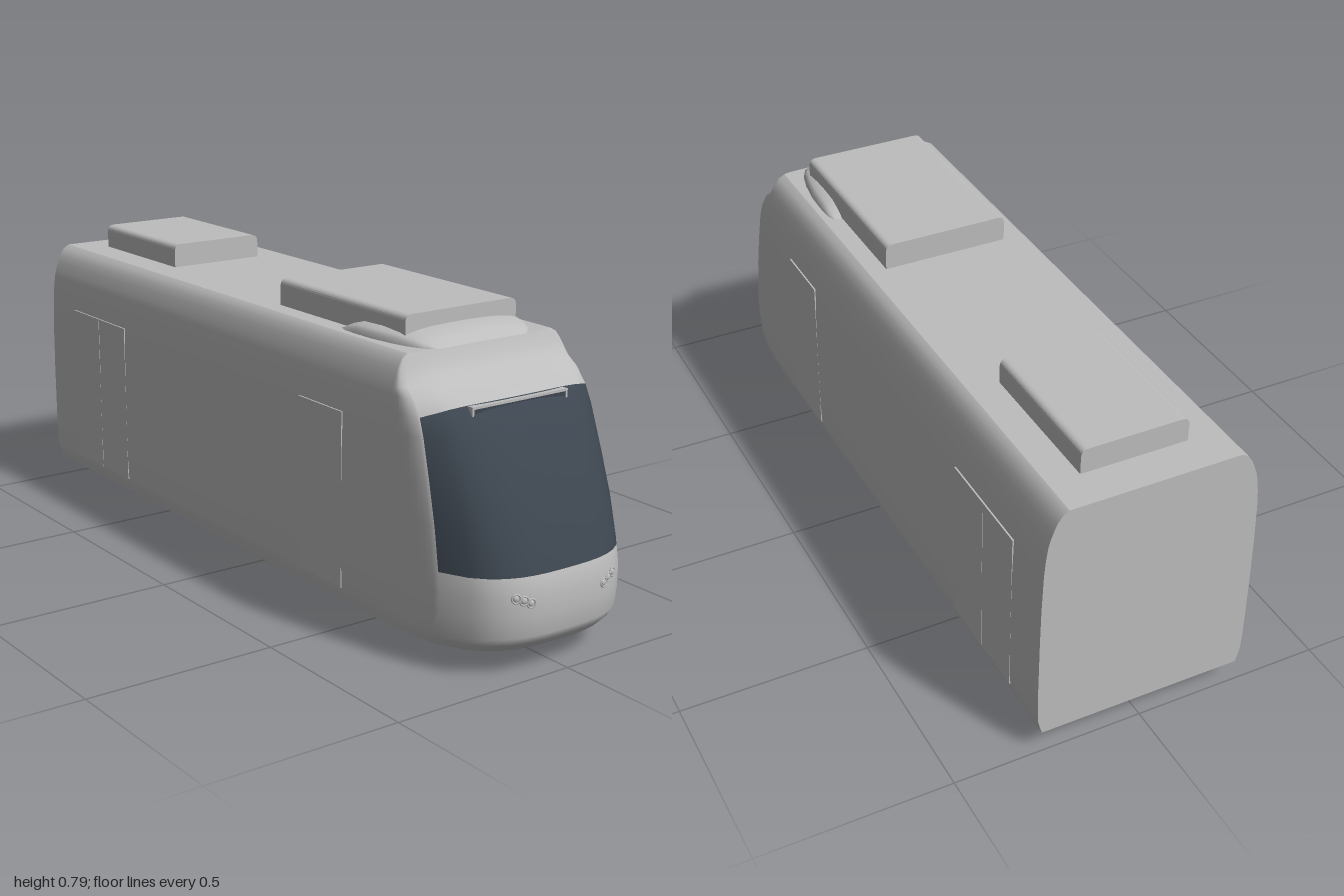
import * as THREE from 'three';

const mat = (name, color, side = THREE.FrontSide) => {
  const m = new THREE.MeshStandardMaterial({ color, side });
  m.name = name;
  return m;
};

// Body profile rows: height, half width, nose tip z, nose depth
const ROWS = [
  [0.06, 0.27, 0.965, 0.35], [0.08, 0.276, 0.985, 0.36], [0.1, 0.281, 0.996, 0.365],
  [0.15, 0.283, 1, 0.365], [0.2, 0.284, 1, 0.365], [0.247, 0.284, 0.99, 0.357],
  [0.35, 0.284, 0.95, 0.3], [0.45, 0.283, 0.902, 0.24], [0.55, 0.28, 0.845, 0.17],
  [0.613, 0.275, 0.797, 0.12], [0.63, 0.272, 0.765, 0.09], [0.65, 0.267, 0.722, 0.055],
  [0.67, 0.26, 0.697, 0.03], [0.69, 0.252, 0.684, 0.02], [0.71, 0.239, 0.674, 0.012],
  [0.72, 0.222, 0.67, 0.01],
];
const GLASS_BOTTOM = 5, GLASS_TOP = 9, EDGE = 0.93;

function sample(y) {
  let i = 0;
  while (i < ROWS.length - 2 && ROWS[i + 1][0] < y) i++;
  const t = (y - ROWS[i][0]) / (ROWS[i + 1][0] - ROWS[i][0]);
  return ROWS[i].map((v, k) => v + (ROWS[i + 1][k] - v) * t);
}

// z of the nose surface, with u = x / half width
function noseZ(u, y) {
  const [, , tip, depth] = sample(y);
  return tip - depth + depth * Math.cbrt(Math.max(0, 1 - Math.abs(u) ** 3));
}

// Columns across the nose, denser at the rounded corners
const half = [];
for (let k = 1; k <= 8; k++) half.push(EDGE * k / 8);
for (let k = 1; k <= 7; k++) half.push(EDGE + (1 - EDGE) * Math.sin(k / 7 * Math.PI / 2));
const US = [...half.map(u => -u).reverse(), 0, ...half];

function bodyRow(i) {
  const pts = US.map(u => {
    const dip = i === GLASS_TOP ? 0.02 * Math.min(1, Math.abs(u) / EDGE) ** 5 : 0;
    const y = ROWS[i][0] - dip;
    return new THREE.Vector3(u * sample(y)[1], y, noseZ(u, y));
  });
  const a = pts[0].clone().setZ(-1), b = pts[pts.length - 1].clone().setZ(-1);
  return [a, ...pts, b];
}

function shellGeometry(rows) {
  const n = rows[0].length, pos = [], skin = [], glass = [];
  rows.flat().forEach(p => pos.push(p.x, p.y, p.z));
  for (let i = 0; i < rows.length - 1; i++) {
    for (let j = 0; j < n - 1; j++) {
      const a = i * n + j, b = a + 1, c = b + n, d = a + n;
      const inGlass = i >= GLASS_BOTTOM && i < GLASS_TOP && j >= 8 && j < n - 9;
      (inGlass ? glass : skin).push(a, b, c, a, c, d);
    }
  }
  const g = new THREE.BufferGeometry();
  g.setAttribute('position', new THREE.Float32BufferAttribute(pos, 3));
  g.setIndex([...skin, ...glass]);
  g.addGroup(0, skin.length, 0);
  g.addGroup(skin.length, glass.length, 1);
  g.computeVertexNormals();
  return g;
}

// Roof box with rounded upper long edges
function roofBox(w, h, z0, z1) {
  const r = 0.02, s = new THREE.Shape();
  s.moveTo(-w, 0);
  s.lineTo(w, 0);
  s.lineTo(w, h - r);
  s.quadraticCurveTo(w, h, w - r, h);
  s.lineTo(-w + r, h);
  s.quadraticCurveTo(-w, h, -w, h - r);
  const g = new THREE.ExtrudeGeometry(s, { depth: z1 - z0, bevelEnabled: false, curveSegments: 6 });
  return g.translate(0, 0.715, z0);
}

// Low fairing lofted from arched sections: z, half width, height
function fairingGeometry() {
  const sections = [[0.36, 0.195, 0.002], [0.39, 0.203, 0.022], [0.43, 0.205, 0.038], [0.5, 0.203, 0.042],
    [0.57, 0.193, 0.04], [0.62, 0.18, 0.032], [0.65, 0.165, 0.02], [0.672, 0.14, 0.002]];
  const n = 17, pos = [], idx = [];
  sections.forEach(([z, w, h], i) => {
    for (let j = 0; j < n; j++) {
      const a = Math.PI * j / (n - 1), c = Math.cos(a);
      pos.push(w * Math.sign(c) * Math.abs(c) ** 0.8, 0.718 + h * Math.sin(a) ** 0.6, z);
      if (i && j) {
        const q = i * n + j, p = q - n;
        idx.push(p - 1, p, q, p - 1, q, q - 1);
      }
    }
  });
  const g = new THREE.BufferGeometry();
  g.setAttribute('position', new THREE.Float32BufferAttribute(pos, 3));
  g.setIndex(idx);
  g.computeVertexNormals();
  return g;
}

export function createModel() {
  const group = new THREE.Group();
  group.name = 'tram';
  const grey = mat('bodyGrey', 0xbdbdbd);
  const greyThin = mat('bodyGreyThin', 0xbdbdbd, THREE.DoubleSide);
  const glass = mat('windscreenGlass', 0x3d4650);
  const add = (name, geo, m = grey, x = 0, y = 0, z = 0) => {
    const mesh = new THREE.Mesh(geo, m);
    mesh.name = name;
    mesh.position.set(x, y, z);
    group.add(mesh);
    return mesh;
  };
  const box = (w, h, d) => new THREE.BoxGeometry(w, h, d);

  // Shell with windscreen, closed by floor, roof and rear wall
  const rows = ROWS.map((_, i) => bodyRow(i));
  add('bodyShell', shellGeometry(rows), [grey, glass]);
  const plan = (row, s) => new THREE.ShapeGeometry(new THREE.Shape(row.map(p => new THREE.Vector2(p.x, s * p.z))));
  add('floor', plan(rows[0], 1).rotateX(Math.PI / 2), grey, 0, 0.06, 0);
  add('roof', plan(rows[rows.length - 1], -1).rotateX(-Math.PI / 2), grey, 0, 0.72, 0);
  const right = rows.map(r => new THREE.Vector2(r[r.length - 1].x, r[0].y));
  const left = right.map(p => new THREE.Vector2(-p.x, p.y)).reverse();
  add('rearWall', new THREE.ShapeGeometry(new THREE.Shape([...right, ...left])).rotateY(Math.PI), grey, 0, 0, -1);

  // Roof equipment
  add('frontRoofUnit', roofBox(0.172, 0.075, 0.07, 0.59));
  add('rearRoofUnit', roofBox(0.14, 0.07, -0.9, -0.51));
  add('roofFairing', fairingGeometry(), greyThin);

  // Display frame at the top of the windscreen
  add('displayTop', box(0.294, 0.006, 0.03), grey, 0, 0.608, 0.795);
  add('displayPanel', box(0.284, 0.012, 0.02), glass, 0, 0.599, 0.797);

  for (const s of [-1, 1]) {
    add('displayEnd', box(0.005, 0.022, 0.03), grey, s * 0.1445, 0.6, 0.795);

    // Headlight cluster
    for (const [x, y] of [[0.15, 0.2], [0.131, 0.193], [0.113, 0.185]]) {
      const u = x / sample(y)[1], e = 0.01;
      const slope = (noseZ(u + e, y) - noseZ(u - e, y)) / (2 * e * sample(y)[1]);
      const turn = s * Math.atan(-slope), z = noseZ(u, y);
      add('headlightRing', new THREE.TorusGeometry(0.0105, 0.0025, 8, 20), grey, s * x, y, z).rotation.y = turn;
      const lens = add('headlightLens', new THREE.SphereGeometry(0.008, 14, 10), grey, s * x, y, z);
      lens.scale.z = 0.5;
      lens.rotation.y = turn;
    }

    // Flush door leaves
    for (const [z, w] of [[-0.785, 0.148], [-0.635, 0.148], [0.4, 0.18]]) {
      add('doorLeaf', box(0.008, 0.45, w), grey, s * 0.2803, 0.325, z);
    }

    // Wheels with inner flanges
    for (const z of [0, -0.39]) {
      const disc = (r, w) => new THREE.CylinderGeometry(r, r, w, 32).rotateZ(Math.PI / 2);
      add('wheel', disc(0.062, 0.024), grey, s * 0.165, 0.068, z);
      add('wheelFlange', disc(0.068, 0.006), grey, s * 0.157, 0.068, z);
    }
  }

  // Running gear under the floor
  for (const z of [0, -0.39]) {
    add('axle', new THREE.CylinderGeometry(0.008, 0.008, 0.32, 12).rotateZ(Math.PI / 2), grey, 0, 0.06, z);
  }
  add('bogiePlate', box(0.35, 0.01, 0.39), grey, 0, 0.062, -0.195);
  return group;
}
